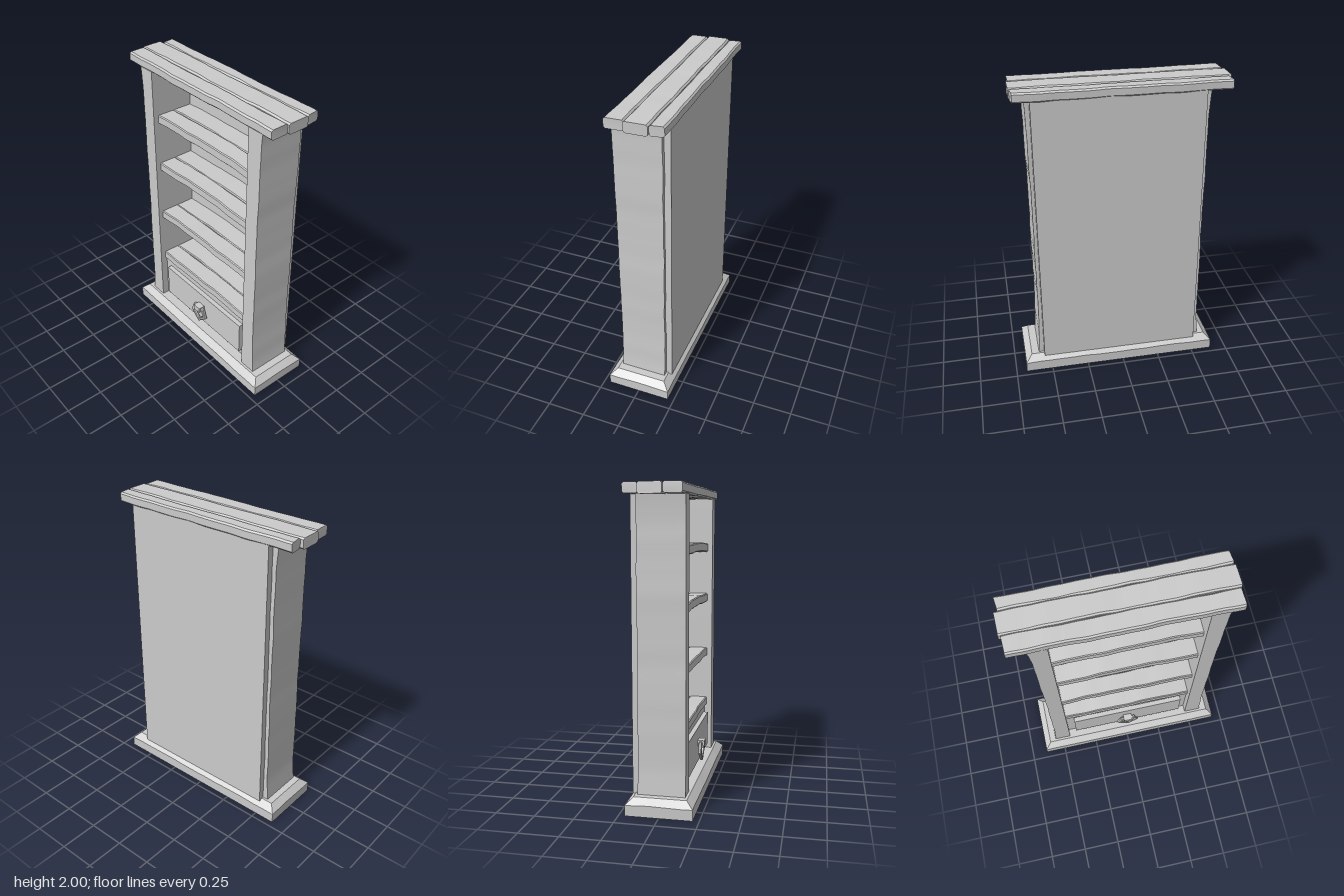
import * as THREE from 'three';
import { toCreasedNormals } from 'three/addons/utils/BufferGeometryUtils.js';

const material = new THREE.MeshStandardMaterial({ color: 0xcccccc });

function addMesh(parent, name, geometry) {
  const mesh = new THREE.Mesh(geometry, material);
  mesh.name = name;
  parent.add(mesh);
  return mesh;
}

// Move every vertex by a rule
function deform(geometry, rule) {
  const pos = geometry.attributes.position;
  const v = new THREE.Vector3();
  for (let i = 0; i < pos.count; i++) {
    v.fromBufferAttribute(pos, i);
    rule(v);
    pos.setXYZ(i, v.x, v.y, v.z);
  }
  return toCreasedNormals(geometry, 0.5);
}

// Smooth hand-cut unevenness, roughly -1..1
const wobble = (t, seed) =>
  0.5 * Math.sin(t * 9 + seed * 2.1) + 0.3 * Math.sin(t * 21 + seed * 4.7) + 0.2 * Math.sin(t * 38 + seed);

// Box between two corners
function box(x0, x1, y0, y1, z0, z1) {
  return new THREE.BoxGeometry(x1 - x0, y1 - y0, z1 - z0)
    .translate((x0 + x1) / 2, (y0 + y1) / 2, (z0 + z1) / 2);
}

// Rough board along x with chamfered long edges and an optional upward bow
function board(x0, x1, y0, y1, z0, z1, seed, bow = 0, chamfer = 0.006) {
  const w = (z1 - z0) / 2, h = (y1 - y0) / 2, c = chamfer, len = x1 - x0;
  const shape = new THREE.Shape([
    [-w + c, -h], [w - c, -h], [w, -h + c], [w, h - c],
    [w - c, h], [-w + c, h], [-w, h - c], [-w, -h + c],
  ].map(([x, y]) => new THREE.Vector2(x, y)));
  const geometry = new THREE.ExtrudeGeometry(shape, { depth: len, steps: 32, bevelEnabled: false });
  geometry.translate(0, 0, -len / 2).rotateY(Math.PI / 2)
    .translate((x0 + x1) / 2, (y0 + y1) / 2, (z0 + z1) / 2);
  const midX = (x0 + x1) / 2, midZ = (z0 + z1) / 2;
  return deform(geometry, (v) => {
    const u = (v.x - midX) / (len / 2);
    v.z += 0.004 * wobble(v.x, seed + Math.sign(v.z - midZ));
    v.y += 0.0025 * wobble(v.x, seed + 3) + bow * (1 - u * u);
    if (Math.abs(u) > 0.99) v.x += 0.005 * Math.sin(v.z * 45 + seed);
  });
}

export function createModel() {
  const model = new THREE.Group();
  model.name = 'bookcase';

  // Plinth: upright rim with a sloped shoulder
  const base = new THREE.BoxGeometry(1.32, 0.11, 0.42, 24, 2, 6).translate(0.02, 0.055, 0);
  addMesh(model, 'base', deform(base, (v) => {
    if (v.y > 0.1) {
      v.x = 0.02 + (v.x - 0.02) * 0.935;
      v.z *= 0.79;
    } else if (v.y > 0.03) {
      v.y = 0.07 + 0.004 * wobble(v.x + v.z * 2, 1);
    }
  }));

  // Side posts: straight inside, outer face flared at the ends
  for (const side of [-1, 1]) {
    const inner = side < 0 ? -0.44 : 0.47;
    const outer = side < 0 ? -0.54 : 0.572;
    const post = new THREE.BoxGeometry(Math.abs(outer - inner), 1.83, 0.3, 1, 40, 4)
      .translate((inner + outer) / 2, 1.02, 0);
    addMesh(model, side < 0 ? 'rightPost' : 'leftPost', deform(post, (v) => {
      const t = (v.y - 1.02) / 0.915;
      if (Math.abs(v.x - outer) < 0.01) {
        v.x += side * (0.006 * t * t + 0.008 * t ** 12 + 0.003 * wobble(v.y, 2 + side));
      }
      if (v.z < -0.1) v.z += 0.003 * wobble(v.y, 6 + side);
    }));
  }

  addMesh(model, 'backPanel', box(-0.515, 0.55, 0.1, 1.94, -0.19, -0.145));

  // Three uneven planks form the top
  const top = new THREE.Group();
  top.name = 'top';
  model.add(top);
  [
    [-0.668, 0.655, 1.931, 1.994, -0.196, -0.108],
    [-0.682, 0.668, 1.929, 1.997, -0.108, 0.038],
    [-0.665, 0.66, 1.931, 1.995, 0.038, 0.154],
  ].forEach((b, i) => addMesh(top, 'topPlank', board(...b, i + 1, 0, 0.01)));

  // Bowed shelves, two planks each
  [0.437, 0.806, 1.203, 1.562].forEach((y, i) => {
    const shelf = new THREE.Group();
    shelf.name = 'shelf';
    model.add(shelf);
    addMesh(shelf, 'shelfBackPlank', board(-0.45, 0.48, y, y + 0.06, -0.15, -0.01, i * 2 + 5, 0.013));
    addMesh(shelf, 'shelfFrontPlank', board(-0.45, 0.48, y, y + 0.06, -0.01, 0.115, i * 2 + 6, 0.013));
  });

  // Drawer with a raised front
  const drawer = new THREE.Group();
  drawer.name = 'drawer';
  model.add(drawer);
  addMesh(drawer, 'drawerSurround', box(-0.445, 0.475, 0.1, 0.45, -0.15, 0.1));
  addMesh(drawer, 'drawerFront', box(-0.385, 0.42, 0.16, 0.395, 0.09, 0.132));

  // Pentagonal pull hanging from a small bracket
  const pentagon = [[-0.04, 0.303], [-0.066, 0.235], [0.012, 0.165], [0.09, 0.235], [0.064, 0.303]]
    .map(([x, y]) => new THREE.Vector2(x, y));
  const centre = new THREE.Vector2(0.012, 0.237);
  const ring = new THREE.Shape(pentagon);
  ring.holes.push(new THREE.Path(pentagon.map((p) => p.clone().lerp(centre, 0.38))));
  const pull = new THREE.ExtrudeGeometry(ring, {
    depth: 0.012, bevelThickness: 0.005, bevelSize: 0.005, bevelOffset: -0.005, bevelSegments: 1,
  });
  addMesh(drawer, 'pullRing', pull.translate(0, 0, 0.148));
  addMesh(drawer, 'pullBracket', box(-0.018, 0.042, 0.272, 0.31, 0.125, 0.178));

  return model;
}
